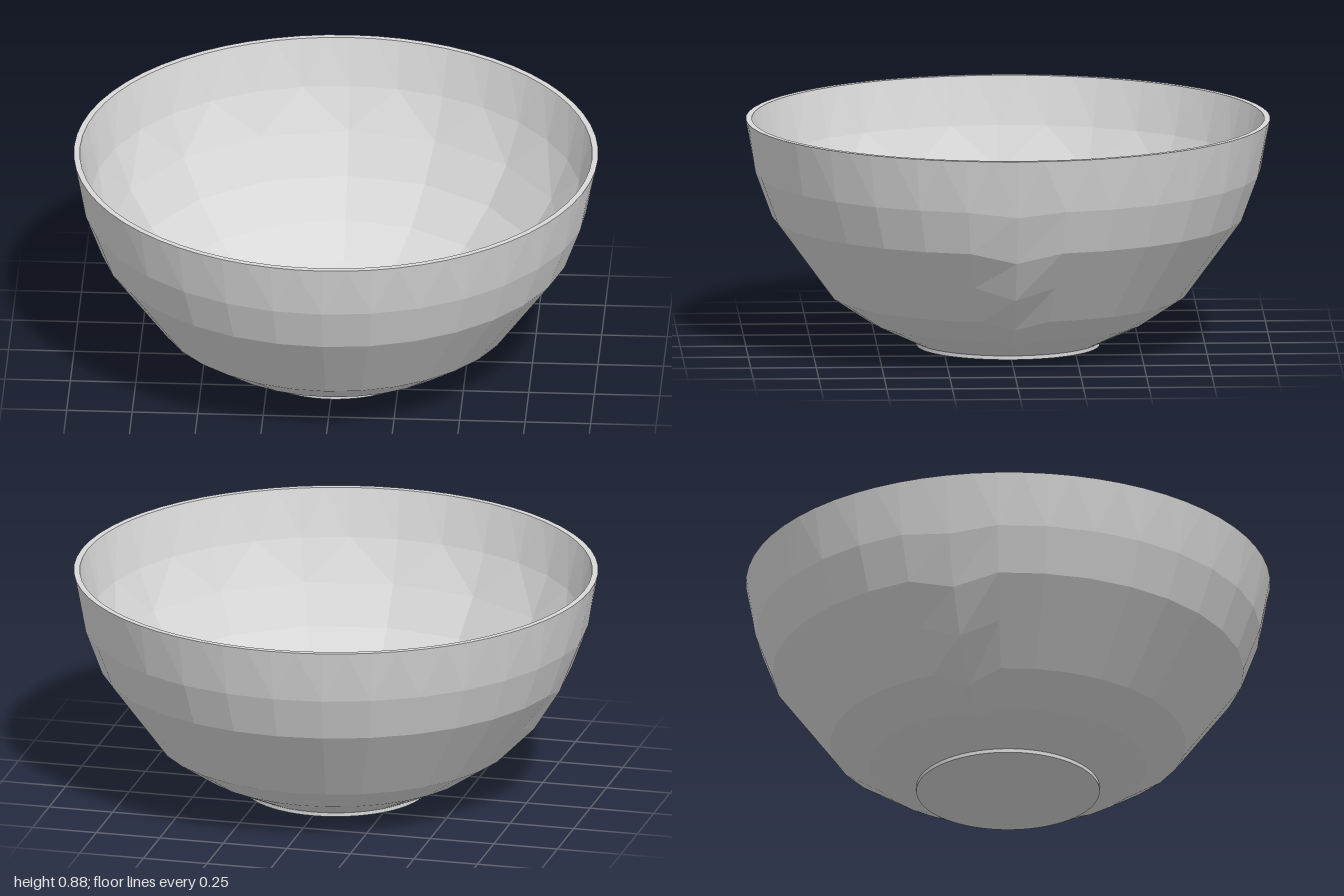
import * as THREE from 'three';

// Faceted surface through rings of [radius, y, sides, seamRadius, seamY].
// The corners on the +x and -x sides may follow a slightly different seam profile.
function ringSurface(rings) {
  const positions = [];
  const corner = ([r, y, sides, sr = r, sy = y], i) => {
    const a = (i / sides) * Math.PI * 2;
    const onSeam = i % (sides / 2) === 0;
    const radius = onSeam ? sr : r;
    return [radius * Math.cos(a), onSeam ? sy : y, radius * Math.sin(a)];
  };
  for (let k = 0; k < rings.length - 1; k++) {
    const lower = rings[k], upper = rings[k + 1];
    const n = lower[2], m = upper[2];
    // Zip two rings together, whatever their numbers of sides
    let i = 0, j = 0;
    while (i < n || j < m) {
      const p = corner(lower, i), q = corner(upper, j);
      if (j >= m || (i < n && (i + 0.5) / n <= (j + 0.5) / m)) {
        positions.push(...p, ...q, ...corner(lower, ++i));
      } else {
        positions.push(...p, ...q, ...corner(upper, ++j));
      }
    }
  }
  const geometry = new THREE.BufferGeometry();
  geometry.setAttribute('position', new THREE.Float32BufferAttribute(positions, 3));
  geometry.computeVertexNormals();
  return geometry;
}

export function createModel() {
  const group = new THREE.Group();
  group.name = 'bowl';
  const ceramic = new THREE.MeshStandardMaterial({ color: 0xd8d8d8 });
  ceramic.name = 'grey ceramic';

  const add = (name, geometry) => {
    const mesh = new THREE.Mesh(geometry, ceramic);
    mesh.name = name;
    group.add(mesh);
    return mesh;
  };

  // Outer wall, from the foot to the rim
  add('outerWall', ringSurface([
    [0.35, 0.015, 64],
    [0.53, 0.10, 32, 0.50, 0.08],
    [0.68, 0.20, 32, 0.63, 0.16],
    [0.79, 0.35, 32, 0.78, 0.30],
    [0.90, 0.50, 32, 0.88, 0.46],
    [0.963, 0.67, 32, 0.955, 0.65],
    [1.00, 0.875, 64],
  ]));

  // Flat lip
  add('rim', ringSurface([[1.00, 0.875, 64], [0.977, 0.875, 64]]));

  // Inner wall, from the rim down to the floor
  add('innerWall', ringSurface([
    [0.977, 0.875, 64],
    [0.935, 0.69, 32],
    [0.87, 0.53, 16],
    [0.78, 0.385, 16],
    [0.66, 0.255, 16],
    [0.52, 0.15, 16],
    [0.37, 0.075, 32],
    [0.20, 0.03, 64],
  ]));

  // Round floor inside
  const floor = add('floor', new THREE.CircleGeometry(0.20, 64));
  floor.rotation.x = -Math.PI / 2;
  floor.position.y = 0.03;

  // Shallow foot and its underside
  add('foot', ringSurface([[0.35, 0, 64], [0.35, 0.015, 64]]));
  const base = add('underside', new THREE.CircleGeometry(0.35, 64));
  base.rotation.x = Math.PI / 2;

  return group;
}
